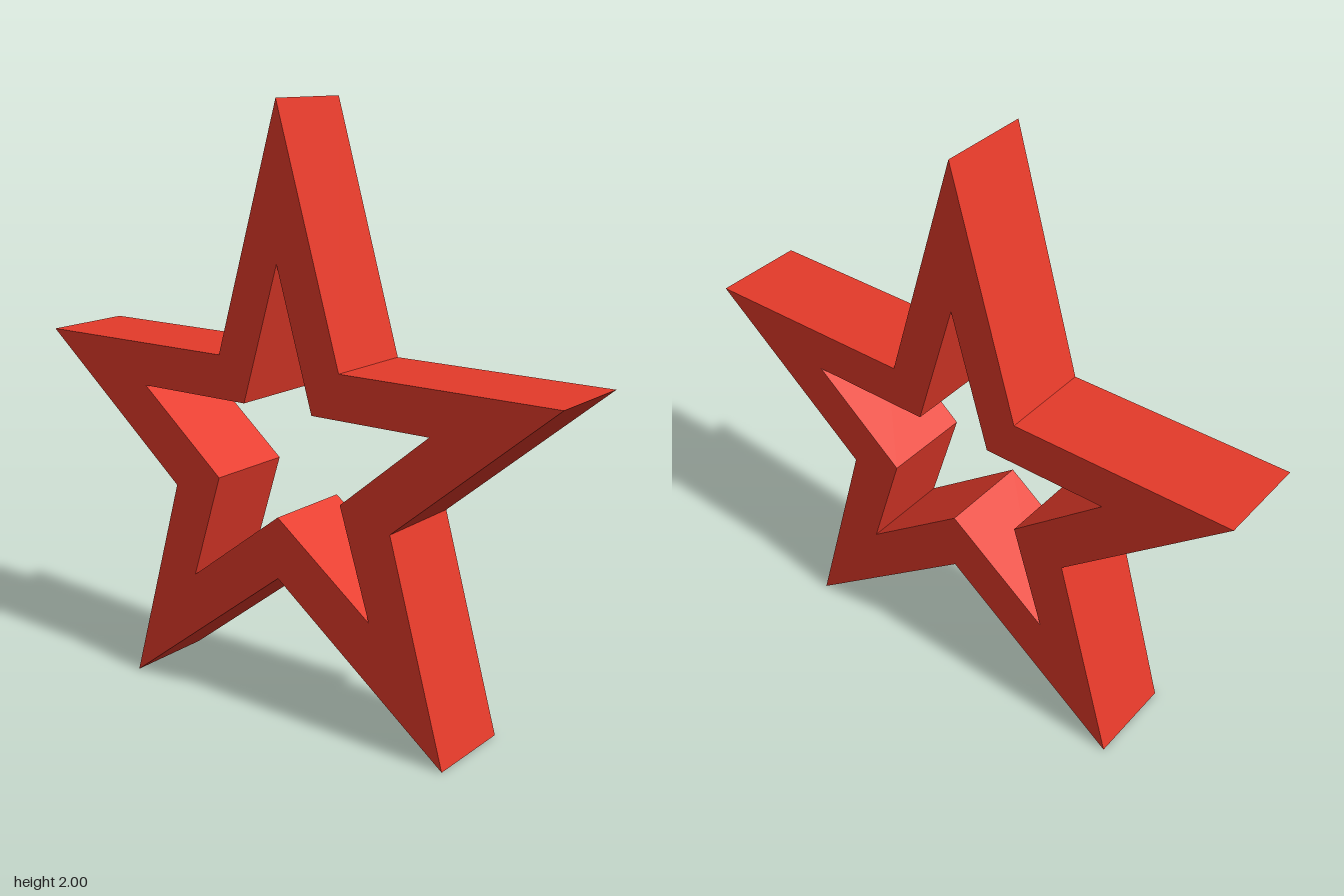
import * as THREE from 'three';

const DEPTH = 0.318;

// Right half of each outline, from the top tip down to the bottom notch
const OUTER = [[0, 2], [0.238, 1.19], [0.995, 1.19], [0.432, 0.72], [0.635, 0], [0, 0.484]];
const INNER = [[0, 1.502], [0.135, 1.045], [0.565, 1.045], [0.245, 0.778], [0.358, 0.418], [0, 0.69]];

// Mirrors a half outline across x = 0 into a closed clockwise ring of points
function mirrored(half) {
  const left = half.slice(1, -1).reverse().map(([x, y]) => [-x, y]);
  return [...half, ...left].map(([x, y]) => new THREE.Vector2(x, y));
}

export function createModel() {
  const group = new THREE.Group();
  group.name = 'openStar';

  const red = new THREE.MeshStandardMaterial({ color: 0xe53a2a });
  red.name = 'red';

  // Star frame: the opening winds against the outline so its walls face inwards
  const shape = new THREE.Shape(mirrored(OUTER));
  shape.holes.push(new THREE.Path(mirrored(INNER).reverse()));
  const geometry = new THREE.ExtrudeGeometry(shape, { depth: DEPTH, bevelEnabled: false });
  geometry.translate(0, 0, -DEPTH / 2);

  const frame = new THREE.Mesh(geometry, red);
  frame.name = 'starFrame';
  group.add(frame);
  return group;
}
